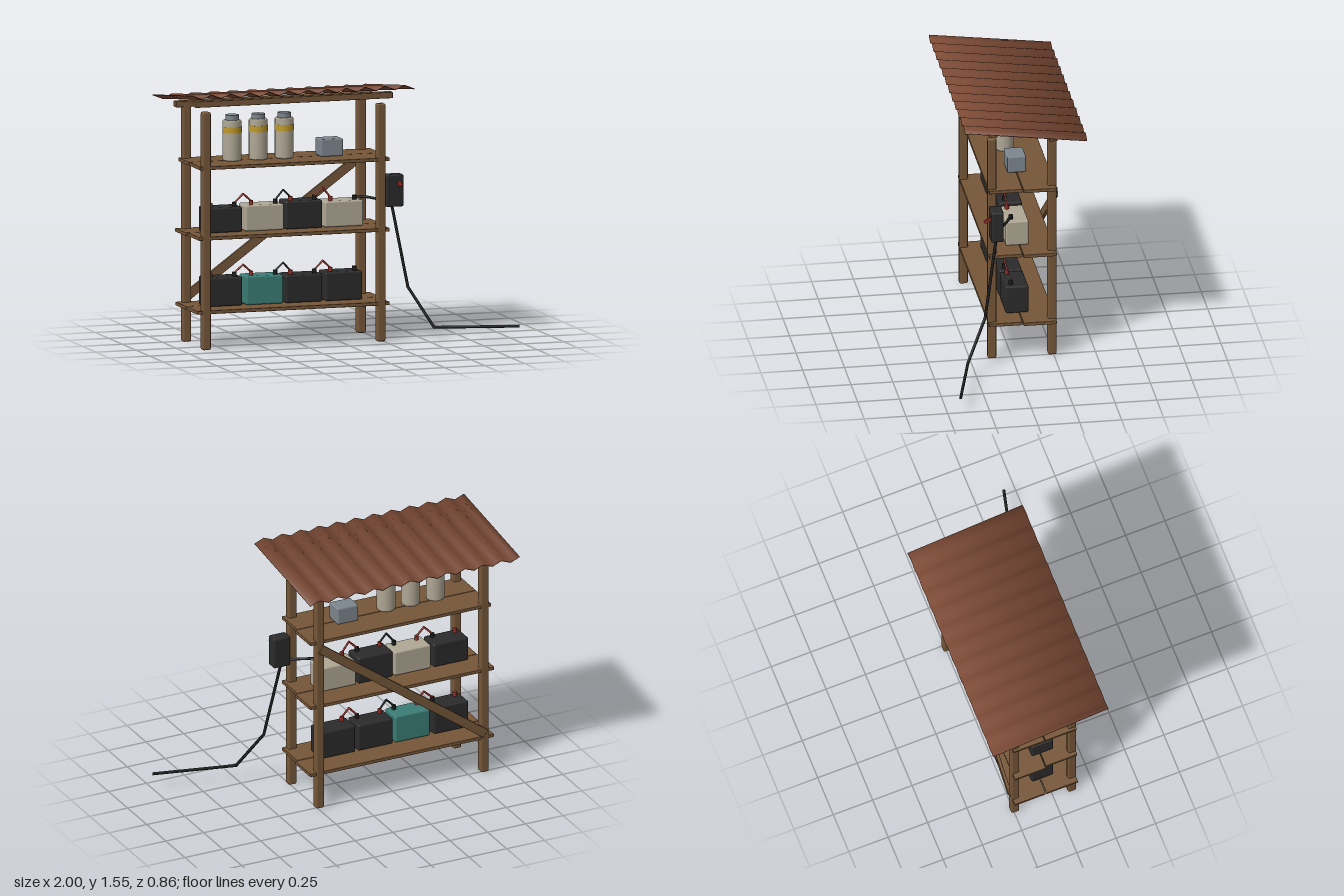
import * as THREE from 'three';
import { RoundedBoxGeometry } from 'three/addons/geometries/RoundedBoxGeometry.js';

const mat = (name, color) => new THREE.MeshStandardMaterial({ name, color });

export function createModel() {
  const wood = mat('wood', 0x765739);
  const rust = mat('rustySheet', 0x7c4a35);
  const black = mat('blackCasing', 0x2b2b2c);
  const rubber = mat('blackRubber', 0x1c1c1d);
  const cream = mat('creamCasing', 0xb0a895);
  const teal = mat('tealCasing', 0x3a7d75);
  const grey = mat('greyMetal', 0x7d868e);
  const yellow = mat('yellowBand', 0xc09a2a);
  const red = mat('red', 0x962f27);

  const model = new THREE.Group();
  const add = (name, geometry, material, x = 0, y = 0, z = 0) => {
    const mesh = new THREE.Mesh(geometry, material);
    mesh.name = name;
    mesh.position.set(x, y, z);
    model.add(mesh);
    return mesh;
  };
  // bevelled box given by its limits
  const box = (name, material, [x0, x1], [y0, y1], [z0, z1], bevel, segments = 1) =>
    add(name, new RoundedBoxGeometry(x1 - x0, y1 - y0, z1 - z0, segments, bevel), material,
      (x0 + x1) / 2, (y0 + y1) / 2, (z0 + z1) / 2);
  // straight rods joining a list of points
  const rods = (name, material, radius, points) => {
    const v = points.map(p => new THREE.Vector3(...p));
    for (let i = 1; i < v.length; i++) {
      const dir = v[i].clone().sub(v[i - 1]);
      const rod = add(name, new THREE.CylinderGeometry(radius, radius, dir.length() + radius * 0.6, 8), material);
      rod.position.copy(v[i]).add(v[i - 1]).multiplyScalar(0.5);
      rod.quaternion.setFromUnitVectors(new THREE.Vector3(0, 1, 0), dir.normalize());
    }
  };

  // posts and roof beams
  for (const x of [-0.855, 0.235])
    for (const z of [0.118, -0.242])
      box('post', wood, [x - 0.026, x + 0.026], [0.005, 1.425], [z - 0.026, z + 0.026], 0.01);
  box('frontBeam', wood, [-0.925, 0.305], [1.455, 1.492], [0.094, 0.142], 0.003);
  box('backBeam', wood, [-0.925, 0.305], [1.407, 1.443], [-0.266, -0.218], 0.003);

  // shelves of two boards each
  [[0.22, -0.915], [0.66, -0.917], [1.08, -0.897]].forEach(([y, x], i) => {
    box('shelfFrontBoard', wood, [x + 0.012 * (i % 2), 0.285], [y, y + 0.021], [-0.06, 0.14], 0.003);
    box('shelfBackBoard', wood, [x, 0.3], [y, y + 0.021], [-0.262, -0.064], 0.003);
  });

  // diagonal brace behind the back posts
  const brace = add('brace', new RoundedBoxGeometry(1.345, 0.055, 0.02, 1, 0.003), wood, -0.31, 0.655, -0.268);
  brace.rotation.z = Math.atan2(0.79, 1.09);

  add('roof', roofGeometry(), rust);

  // batteries, terminals and the links between them
  const rows = [
    { base: 0.243, tops: [0.415, 0.415, 0.41, 0.415], skins: [black, teal, black, black] },
    { base: 0.683, tops: [0.832, 0.838, 0.85, 0.838], skins: [black, cream, black, cream] },
  ];
  const centres = [-0.706, -0.452, -0.207, 0.042];
  for (const { base, tops, skins } of rows) {
    centres.forEach((x, i) => {
      const top = tops[i];
      const half = skins[i] === cream ? 0.12 : 0.115;
      box('battery', skins[i], [x - half, x + half], [base, top], [-0.116, 0.021], 0.011, 2);
      for (const [dx, m] of [[-0.075, red], [0.075, rubber]])
        add('terminal', new THREE.CylinderGeometry(0.013, 0.013, 0.03, 10), m, x + dx, top + 0.011, -0.015);
      if (i < 3) {
        const next = centres[i + 1];
        rods('linkWire', i === 1 ? rubber : red, 0.006, [
          [x + 0.075, top + 0.022, -0.015],
          [(x + next) / 2, Math.max(top, tops[i + 1]) + 0.068, -0.008],
          [next - 0.075, tops[i + 1] + 0.022, -0.015],
        ]);
      }
    });
  }

  // canisters: body, band and cap
  for (const x of [-0.635, -0.472, -0.31]) {
    const profile = [[0, 1.103], [0.05, 1.103], [0.056, 1.11], [0.056, 1.338], [0.05, 1.346], [0, 1.346]]
      .map(([r, y]) => new THREE.Vector2(r, y));
    const z = -0.045;
    const body = new THREE.LatheGeometry(profile, 20);
    add('canister', body, cream, x, 0, z);
    add('canisterBand', new THREE.CylinderGeometry(0.058, 0.058, 0.036, 20), yellow, x, 1.288, z);
    add('canisterCap', new THREE.CylinderGeometry(0.04, 0.04, 0.032, 16), grey, x, 1.36, z);
  }
  box('smallMetalBox', grey, [-0.093, 0.046], [1.102, 1.206], [-0.118, -0.006], 0.009, 2);

  // switch box with lever on the front right post
  box('switchBox', black, [0.265, 0.374], [0.805, 0.997], [0.066, 0.141], 0.01, 2);
  const lever = add('switchLever', new THREE.BoxGeometry(0.016, 0.018, 0.06), red, 0.343, 0.942, 0.152);
  lever.rotation.x = 0.42;

  // cables
  rods('feedCable', rubber, 0.008, [[0.117, 0.858, -0.015], [0.19, 0.853, 0.02], [0.28, 0.838, 0.09]]);
  rods('groundCable', rubber, 0.009, [
    [0.31, 0.82, 0.1], [0.385, 0.33, 0.18], [0.507, 0.1, 0.302], [0.995, 0.1, 0.422],
  ]);
  return model;
}

// corrugated sheet with softened edge normals
function roofGeometry() {
  const waves = 11.5, steps = waves * 4, x0 = -1, x1 = 0.385, amp = 0.012, t = 0.0025;
  const ends = [[0.3, 1.541], [-0.43, 1.445]];
  const tilt = (ends[0][1] - ends[1][1]) / (ends[0][0] - ends[1][0]);
  const pos = [], nor = [], idx = [];
  for (let i = 0; i <= steps; i++) {
    const x = x0 + (x1 - x0) * i / steps, a = i * Math.PI / 2;
    const slope = i % 2 ? -Math.sin(a) * amp * 4 * waves / (x1 - x0) : 0;
    const up = new THREE.Vector3(-slope, 1, -tilt).normalize();
    // ring order: front top, back top, back bottom, front bottom
    for (const [e, s] of [[0, 1], [1, 1], [1, -1], [0, -1]]) {
      const [z, y] = ends[e];
      pos.push(x, y + amp * Math.cos(a) + s * t, z);
      const n = up.clone().multiplyScalar(s).add(new THREE.Vector3(0, 0, e ? -1 : 1));
      if (i === 0 || i === steps) n.x += i ? 1 : -1;
      nor.push(...n.normalize().toArray());
    }
    if (i < steps) for (let k = 0; k < 4; k++) {
      const p = i * 4 + k, q = i * 4 + (k + 1) % 4;
      idx.push(p, p + 4, q, q, p + 4, q + 4);
    }
  }
  const m = steps * 4;
  idx.push(0, 1, 2, 0, 2, 3, m, m + 2, m + 1, m, m + 3, m + 2);
  const g = new THREE.BufferGeometry();
  g.setAttribute('position', new THREE.Float32BufferAttribute(pos, 3));
  g.setAttribute('normal', new THREE.Float32BufferAttribute(nor, 3));
  g.setIndex(idx);
  return g;
}
